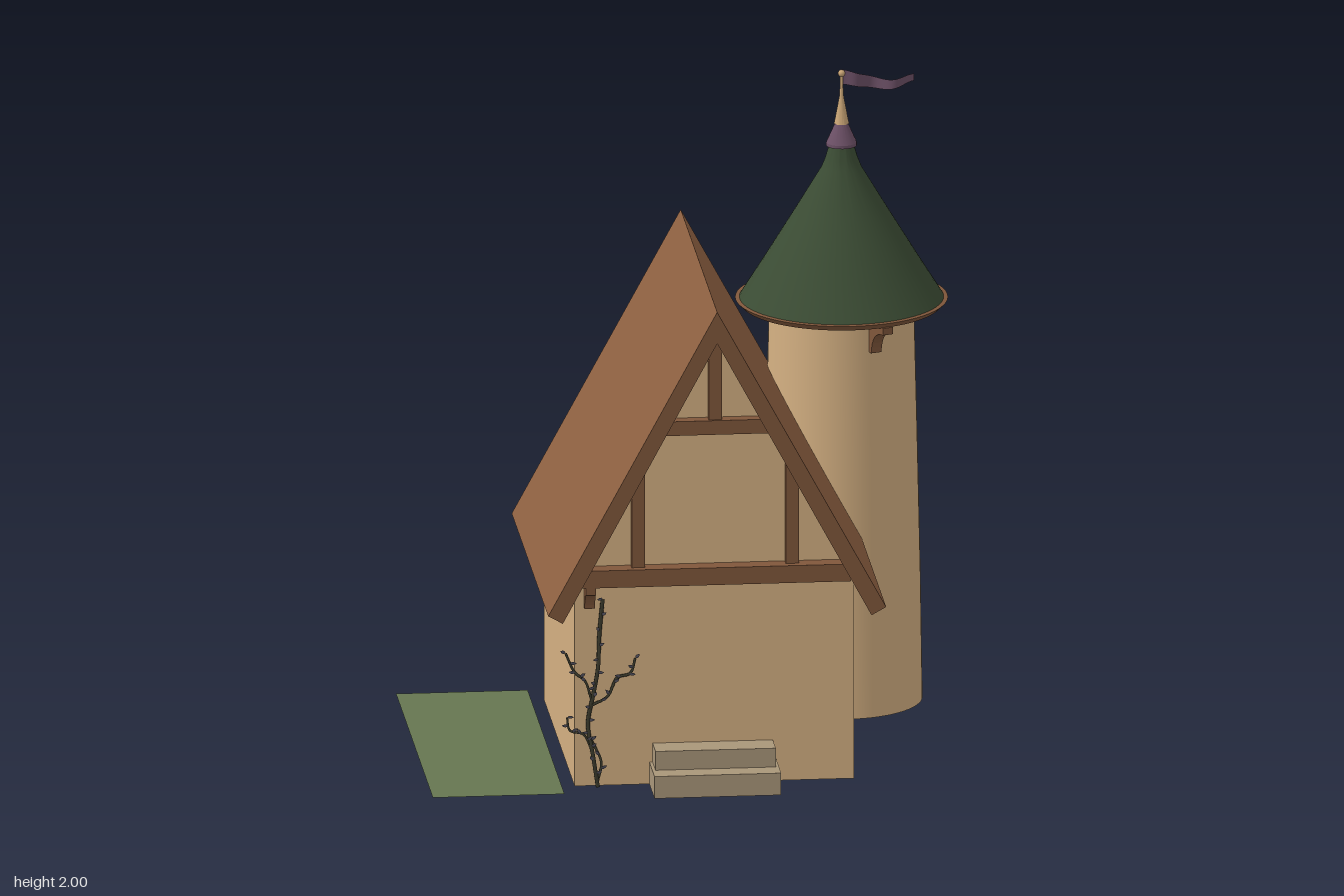
import * as THREE from 'three';
import { toCreasedNormals } from 'three/addons/utils/BufferGeometryUtils.js';

const material = (name, color, side = THREE.FrontSide) => {
  const m = new THREE.MeshStandardMaterial({ color, side });
  m.name = name;
  return m;
};

export function createModel() {
  const plaster = material('plaster', 0xd4b082);
  const shingle = material('brown roof', 0x8e6041);
  const timber = material('timber', 0x80573b);
  const green = material('green roof', 0x3b4c34);
  const stone = material('stone', 0xa99679);
  const grass = material('grass', 0x667650, THREE.DoubleSide);
  const purple = material('purple', 0x6c5066, THREE.DoubleSide);
  const gold = material('pale gold', 0xcda878);
  const bark = material('vine', 0x3b3a2c);
  const leafMat = material('leaf', 0x5a5866, THREE.DoubleSide);

  const model = new THREE.Group();
  const add = (name, geometry, mat, x = 0, y = 0, z = 0, parent = model) => {
    const mesh = new THREE.Mesh(geometry, mat);
    mesh.name = name;
    mesh.position.set(x, y, z);
    parent.add(mesh);
    return mesh;
  };
  // Box given by its limits on each axis
  const box = (name, mat, x0, x1, y0, y1, z0, z1) =>
    add(name, new THREE.BoxGeometry(x1 - x0, y1 - y0, z1 - z0), mat,
      (x0 + x1) / 2, (y0 + y1) / 2, (z0 + z1) / 2);
  // Outline extruded from z0 to z1
  const prism = (name, mat, points, z0, z1) => {
    const shape = new THREE.Shape(points.map(p => new THREE.Vector2(...p)));
    return add(name, new THREE.ExtrudeGeometry(shape, { depth: z1 - z0, bevelEnabled: false }), mat, 0, 0, z0);
  };
  const lathe = (name, mat, points, parent, segments = 64) =>
    add(name, toCreasedNormals(new THREE.LatheGeometry(
      points.map(p => new THREE.Vector2(...p)), segments), 0.4), mat, 0, 0, 0, parent);

  // House walls with both gables
  prism('houseWalls', plaster,
    [[-0.4, 0], [0.46, 0], [0.46, 0.64], [0.03, 1.43], [-0.4, 0.64]], -0.42, 0.53);

  // Steep roof slabs
  const mid = 0.03;
  for (const s of [-1, 1]) {
    const pts = [[mid, 1.525], [mid + s * 0.52, 0.57], [mid + s * 0.475, 0.545], [mid, 1.425]];
    prism(s < 0 ? 'roofRight' : 'roofLeft', shingle, pts, -0.505, 0.615);
    // Barge boards on the front and back edges of the slab
    for (const [z0, z1] of [[0.615, 0.62], [-0.51, -0.505]]) prism('bargeBoard', timber, pts, z0, z1);
  }

  // Timber frame of the gables
  box('frontTieBeam', timber, mid - 0.415, mid + 0.415, 0.645, 0.7, 0.5, 0.585);
  box('backTieBeam', timber, mid - 0.415, mid + 0.415, 0.645, 0.7, -0.475, -0.4);
  box('collarBeam', timber, mid - 0.19, mid + 0.19, 1.12, 1.165, 0.51, 0.57);
  box('kingPost', timber, 0.01, 0.05, 1.165, 1.45, 0.51, 0.56);
  for (const s of [-1, 1]) {
    const x = mid + s * 0.237;
    box('gablePost', timber, x - 0.02, x + 0.02, 0.7, 1.04, 0.51, 0.56);
  }

  // Curved brackets, turned by an angle from the front
  const bracket = (name, x, y, z, angle, length, drop, width) => {
    const s = new THREE.Shape();
    s.moveTo(-0.02, 0);
    s.lineTo(-0.02, -drop);
    s.lineTo(0.02, -drop);
    s.quadraticCurveTo(0.025, -0.025, length, -0.022);
    s.lineTo(length, 0);
    const g = new THREE.ExtrudeGeometry(s, { depth: width, bevelEnabled: false, curveSegments: 8 });
    g.translate(0, 0, -width / 2);
    add(name, g, timber, x, y, z).rotation.y = angle - Math.PI / 2;
  };
  bracket('towerBracket', 0.588, 1.26, -0.155, 0.36, 0.1, 0.1, 0.035);
  bracket('houseBracket', -0.355, 0.645, 0.53, 0, 0.055, 0.075, 0.032);

  // Door steps
  box('lowerStep', stone, -0.17, 0.22, 0, 0.07, 0.5, 0.69);
  box('upperStep', stone, -0.16, 0.21, 0.07, 0.13, 0.5, 0.622);

  // Lawn strip
  const lawn = new THREE.PlaneGeometry(0.405, 1.14).rotateX(-Math.PI / 2);
  add('lawn', lawn, grass, -0.6425, 0.002, 0.05);

  // Round tower, hollow and open at the foot
  const tower = new THREE.Group();
  tower.name = 'tower';
  tower.position.set(0.51, 0, -0.36);
  model.add(tower);
  lathe('towerWall', plaster, [[0.203, 1.25], [0.203, 0], [0.248, 0], [0.242, 0.4],
    [0.232, 0.85], [0.222, 1.265]], tower);
  lathe('eaveRing', timber, [[0, 1.258], [0.308, 1.258], [0.326, 1.276], [0.31, 1.278]], tower);
  lathe('towerRoof', green, [[0.314, 1.276], [0.24, 1.395], [0.15, 1.543], [0.062, 1.69],
    [0.05, 1.72], [0.037, 1.765], [0, 1.765]], tower);
  lathe('finialBase', purple, [[0, 1.76], [0.047, 1.76], [0.047, 1.77], [0.02, 1.83], [0, 1.83]], tower, 24);
  lathe('finialSpike', gold, [[0, 1.83], [0.023, 1.83], [0.019, 1.85], [0.006, 1.92],
    [0.004, 1.985], [0, 1.985]], tower, 24);
  add('finialBall', new THREE.SphereGeometry(0.011, 16, 10), gold, 0, 1.989, 0, tower);

  // Waving pennant
  const flag = new THREE.PlaneGeometry(1, 1, 28, 2);
  const fp = flag.attributes.position;
  for (let i = 0; i < fp.count; i++) {
    const t = fp.getX(i) + 0.5;
    const height = 0.048 - 0.026 * t;
    fp.setXYZ(i, 0.225 * t, 1.966 + 0.011 * Math.cos(t * 5.6) - 0.008 * t + fp.getY(i) * height,
      0.014 * Math.sin(t * 11) * Math.min(1, t * 4));
  }
  flag.computeVertexNormals();
  add('pennant', flag, purple, 0, 0, 0, tower);

  // Climbing vine with side shoots and small leaves
  const leafShape = new THREE.Shape();
  leafShape.moveTo(0, 0);
  leafShape.quadraticCurveTo(0.011, 0.008, 0, 0.022);
  leafShape.quadraticCurveTo(-0.011, 0.008, 0, 0);
  const leaf = new THREE.ShapeGeometry(leafShape, 3);
  const shoots = [
    [0.009, 14, [-0.33, 0], [-0.345, 0.1], [-0.36, 0.2], [-0.345, 0.29], [-0.33, 0.38], [-0.325, 0.48], [-0.315, 0.6]],
    [0.006, 7, [-0.35, 0.26], [-0.3, 0.29], [-0.27, 0.345], [-0.23, 0.36], [-0.215, 0.41]],
    [0.006, 6, [-0.35, 0.28], [-0.37, 0.34], [-0.4, 0.365], [-0.43, 0.43]],
    [0.005, 5, [-0.35, 0.12], [-0.375, 0.17], [-0.415, 0.18], [-0.425, 0.225]],
    [0.006, 3, [-0.33, 0.02], [-0.32, 0.08], [-0.35, 0.15]],
  ];
  const vine = new THREE.Group();
  vine.name = 'vine';
  model.add(vine);
  for (const [radius, leaves, ...pts] of shoots) {
    const curve = new THREE.CatmullRomCurve3(pts.map(([x, y], i) =>
      new THREE.Vector3(x, y, 0.545 + 0.006 * Math.sin(i * 2.1))));
    add('vineStem', new THREE.TubeGeometry(curve, 30, radius * 0.75, 6), bark, 0, 0, 0, vine);
    for (let i = 0; i < leaves; i++) {
      const p = curve.getPoint((i + 1) / leaves);
      const m = add('vineLeaf', leaf, i % 3 ? bark.side === 2 ? bark : leafMat : leafMat, p.x, p.y, p.z + 0.004, vine);
      m.rotation.set(0.3, 0.5 * Math.sin(i * 3), (i % 2 ? 1 : -1) * (1 + 0.4 * Math.sin(i * 5)));
    }
  }
  return model;
}
